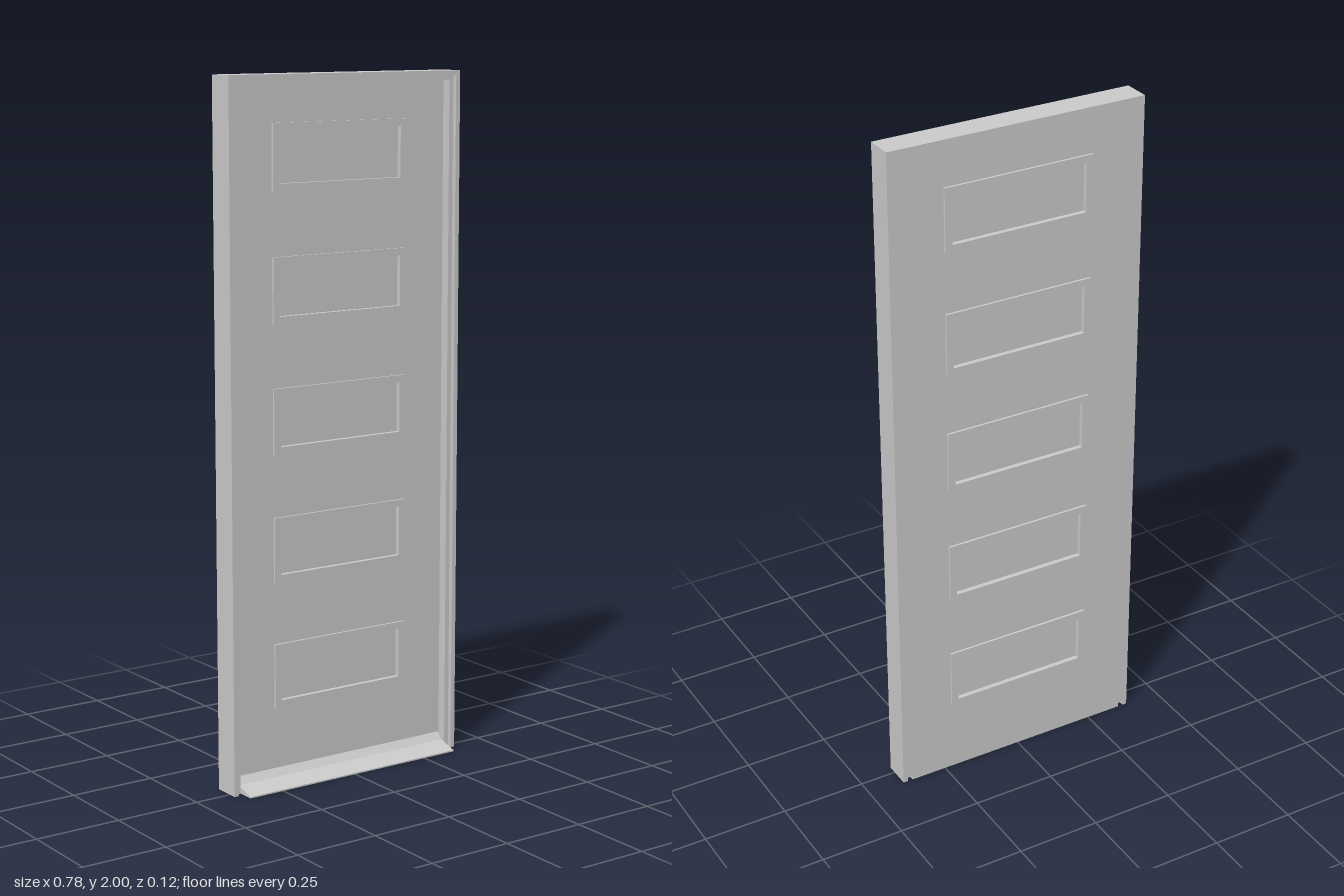
import * as THREE from 'three';

const BACK = -0.057, FRONT = 0.025, DOOR_FRONT = -0.016;
const material = new THREE.MeshStandardMaterial({ color: 0xcccccc, flatShading: true });

function mesh(name, geometry, z = 0) {
  const m = new THREE.Mesh(geometry, material);
  m.name = name;
  m.position.z = z;
  return m;
}

// Rectangle outline centred on x = 0
function trace(path, halfW, y0, y1) {
  path.moveTo(-halfW, y0);
  path.lineTo(halfW, y0);
  path.lineTo(halfW, y1);
  path.lineTo(-halfW, y1);
  path.closePath();
  return path;
}

const extrude = (shape, depth) => new THREE.ExtrudeGeometry(shape, { depth, bevelEnabled: false });

// Upside-down U made of two uprights and a head
function portal(outerW, innerW, outerTop, innerTop, depth) {
  const s = new THREE.Shape([
    [-outerW, 0], [-innerW, 0], [-innerW, innerTop], [innerW, innerTop],
    [innerW, 0], [outerW, 0], [outerW, outerTop], [-outerW, outerTop],
  ].map(([x, y]) => new THREE.Vector2(x, y)));
  return extrude(s, depth);
}

export function createModel() {
  const door = new THREE.Group();
  door.name = 'door';

  // Surrounding frame and the stop set back inside it
  door.add(mesh('doorFrame', portal(0.39, 0.376, 2, 1.986, FRONT - BACK), BACK));
  door.add(mesh('doorStop', portal(0.376, 0.362, 1.986, 1.973, 0.028), DOOR_FRONT));

  // Door leaf with five openings
  const leaf = trace(new THREE.Shape(), 0.376, 0.012, 1.986);
  const halfW = 0.227, halfH = 0.093, rim = 0.021;
  const centres = [0, 1, 2, 3, 4].map((i) => 0.313 + i * 0.3655);
  for (const y of centres) {
    leaf.holes.push(trace(new THREE.Path(), halfW - rim, y - halfH + rim, y + halfH - rim));
  }
  door.add(mesh('leaf', extrude(leaf, DOOR_FRONT - BACK), BACK));

  // Glazing panes with a raised rim on each side
  const rimShape = trace(new THREE.Shape(), halfW, -halfH, halfH);
  rimShape.holes.push(trace(new THREE.Path(), halfW - rim, -halfH + rim, halfH - rim));
  const rimGeometry = extrude(rimShape, 0.007);
  const paneGeometry = new THREE.BoxGeometry(2 * (halfW - rim), 2 * (halfH - rim), 0.027);
  centres.forEach((y) => {
    const pane = new THREE.Group();
    pane.name = 'window';
    pane.position.y = y;
    pane.add(
      mesh('frontRim', rimGeometry, DOOR_FRONT),
      mesh('backRim', rimGeometry, BACK - 0.007),
      mesh('pane', paneGeometry, (DOOR_FRONT + BACK) / 2),
    );
    door.add(pane);
  });

  // Sloping sill, its (z, y) profile swept along x
  const profile = new THREE.Shape([
    [BACK, 0], [0.061, 0], [0.061, 0.004], [0.0, 0.021],
    [DOOR_FRONT, 0.042], [DOOR_FRONT, 0.012], [BACK, 0.012],
  ].map(([z, y]) => new THREE.Vector2(-z, y)));
  const sill = extrude(profile, 0.72);
  sill.rotateY(Math.PI / 2);
  sill.translate(-0.36, 0, 0);
  door.add(mesh('sill', sill));

  return door;
}
